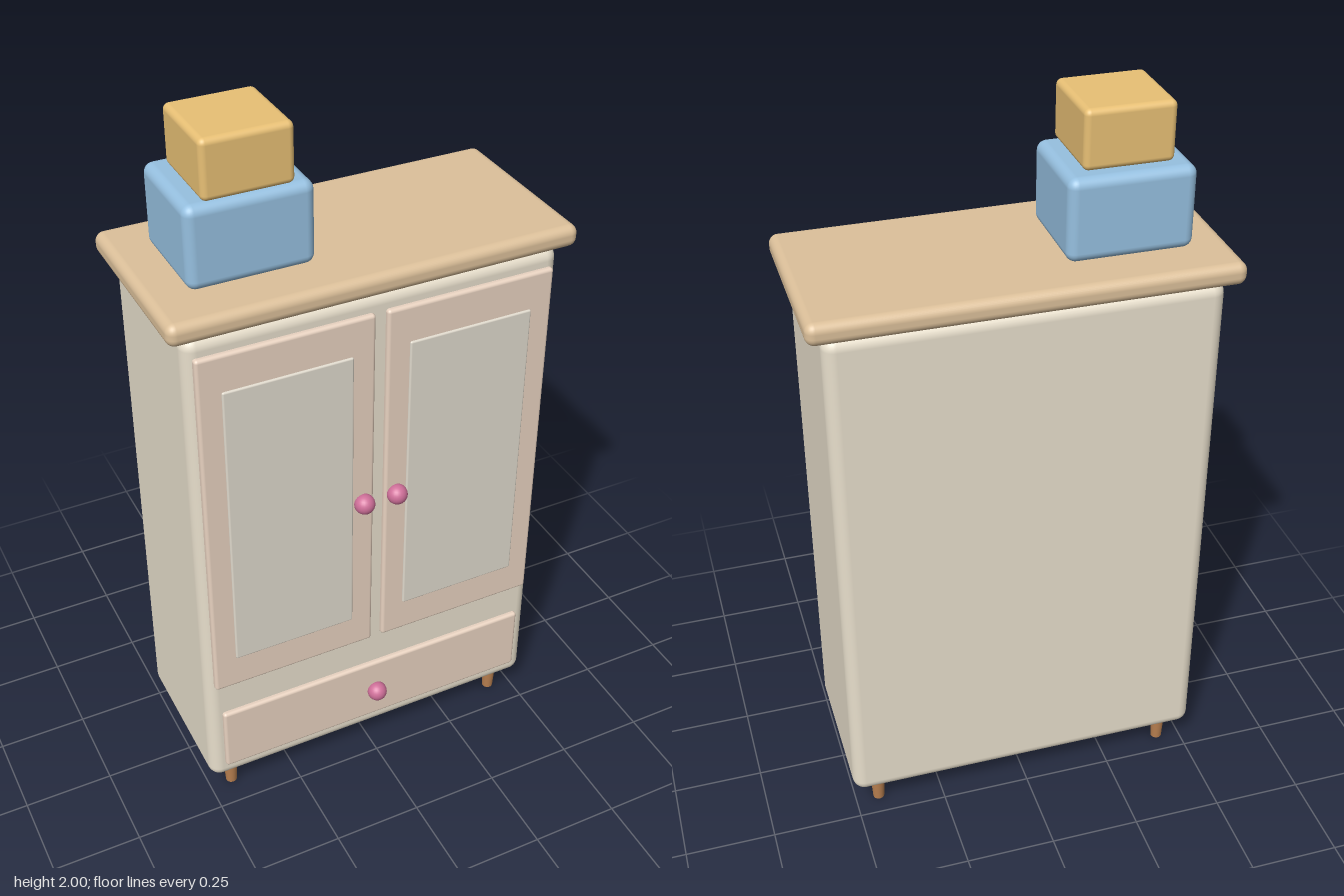
import * as THREE from 'three';
import { RoundedBoxGeometry } from 'three/addons/geometries/RoundedBoxGeometry.js';

const paint = (color) => new THREE.MeshStandardMaterial({ color });
const cream = paint(0xe8dfcc), blush = paint(0xe8d2c0), panelGrey = paint(0xdfd9cc);
const wood = paint(0xdcc09a), legWood = paint(0xb98050), pink = paint(0xd0709a);
const blue = paint(0x96c0e0), yellow = paint(0xe8c075);

export function createModel() {
  const model = new THREE.Group();
  model.name = 'wardrobe';

  const add = (parent, name, geometry, material, x, y, z) => {
    const mesh = new THREE.Mesh(geometry, material);
    mesh.name = name;
    mesh.position.set(x, y, z);
    parent.add(mesh);
    return mesh;
  };
  // Rounded box given by its limits on each axis
  const box = (parent, name, material, [x0, x1], [y0, y1], [z0, z1], radius) =>
    add(parent, name, new RoundedBoxGeometry(x1 - x0, y1 - y0, z1 - z0, 4, radius), material,
      (x0 + x1) / 2, (y0 + y1) / 2, (z0 + z1) / 2);
  const knob = (parent, name, x, y) =>
    add(parent, name, new THREE.SphereGeometry(0.028, 24, 16), pink, x, y, 0.246);

  // Carcass and top board
  box(model, 'body', cream, [-0.51, 0.51], [0.085, 1.565], [-0.246, 0.222], 0.035);
  box(model, 'topBoard', wood, [-0.55, 0.55], [1.565, 1.625], [-0.273, 0.244], 0.024);

  // Pair of doors, each with a raised panel and a knob
  for (const side of [-1, 1]) {
    const door = new THREE.Group();
    door.name = side > 0 ? 'leftDoor' : 'rightDoor';
    model.add(door);
    const span = (a, b) => (side > 0 ? [a, b] : [-b, -a]);
    box(door, 'doorFrame', blush, span(0.016, 0.488), [0.447, 1.515], [0.205, 0.236], 0.009);
    box(door, 'doorPanel', panelGrey, span(0.078, 0.426), [0.547, 1.412], [0.22, 0.241], 0.005);
    knob(door, 'doorKnob', side * 0.048, 0.95);
  }

  // Drawer
  const drawer = new THREE.Group();
  drawer.name = 'drawer';
  model.add(drawer);
  box(drawer, 'drawerFront', blush, [-0.47, 0.47], [0.14, 0.344], [0.205, 0.236], 0.009);
  knob(drawer, 'drawerKnob', 0, 0.24);

  // Tapered legs
  const legGeometry = new THREE.CylinderGeometry(0.022, 0.016, 0.1, 20);
  for (const x of [-0.433, 0.433])
    for (const z of [-0.185, 0.163]) add(model, 'leg', legGeometry, legWood, x, 0.05, z);

  // Stacked storage boxes
  box(model, 'lowerBox', blue, [-0.45, -0.12], [1.625, 1.845], [-0.155, 0.126], 0.026);
  box(model, 'upperBox', yellow, [-0.402, -0.168], [1.845, 2.0], [-0.115, 0.118], 0.016);

  return model;
}
